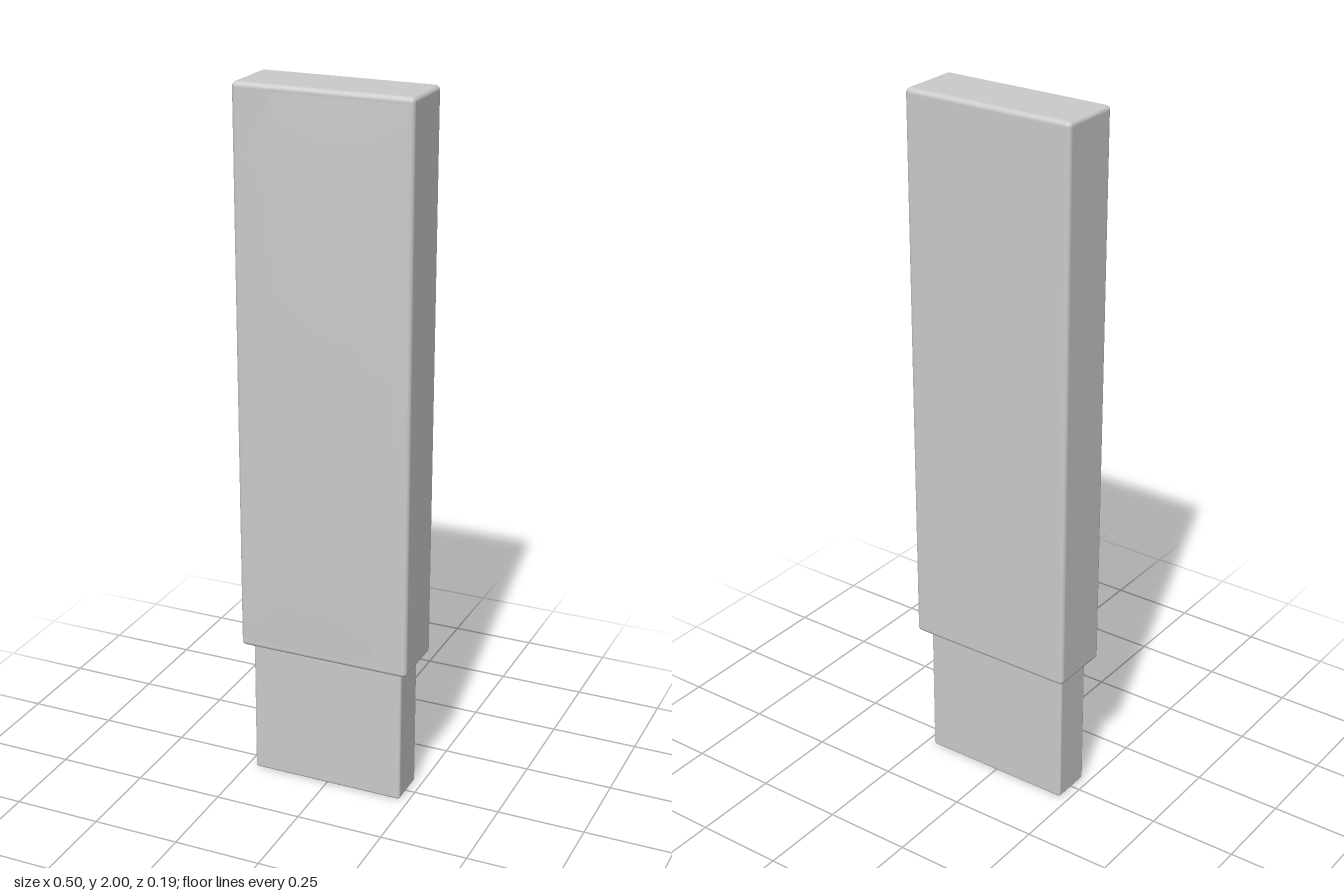
import * as THREE from 'three';
import { RoundedBoxGeometry } from 'three/addons/geometries/RoundedBoxGeometry.js';

const material = new THREE.MeshStandardMaterial({ color: 0xcccccc });

// Rounded block given by its lower and upper corners
function block(name, min, max, radius) {
  const size = max.map((v, i) => v - min[i]);
  const mesh = new THREE.Mesh(new RoundedBoxGeometry(...size, 4, radius), material);
  mesh.position.set(...max.map((v, i) => (v + min[i]) / 2));
  mesh.name = name;
  return mesh;
}

// Shallow raised panel: the rim lies on the body, the inner corners stand proud
function raisedPanel(xs, ys, rimZ, topZ) {
  const geometry = new THREE.PlaneGeometry(1, 1, 3, 3);
  const position = geometry.attributes.position;
  for (let i = 0; i < position.count; i++) {
    const column = i % 4;
    const row = Math.floor(i / 4);
    const inner = column % 3 !== 0 && row % 3 !== 0;
    position.setXYZ(i, xs[column], ys[row], inner ? topZ : rimZ);
  }
  geometry.computeVertexNormals();
  const mesh = new THREE.Mesh(geometry, material);
  mesh.name = 'raisedFrontPanel';
  return mesh;
}

export function createModel() {
  const model = new THREE.Group();
  model.name = 'memoryStick';

  // Main casing with softly rounded edges
  model.add(block('body', [-0.25, 0.405, -0.098], [0.25, 2, 0.085], 0.013));

  // Bulged front of the casing
  model.add(raisedPanel([-0.24, -0.13, 0.13, 0.24], [1.99, 1.78, 0.65, 0.415], 0.0845, 0.097));

  // Flat plug, running up into the casing
  model.add(block('connector', [-0.225, 0, -0.063], [0.225, 0.46, 0.056], 0.008));

  return model;
}
